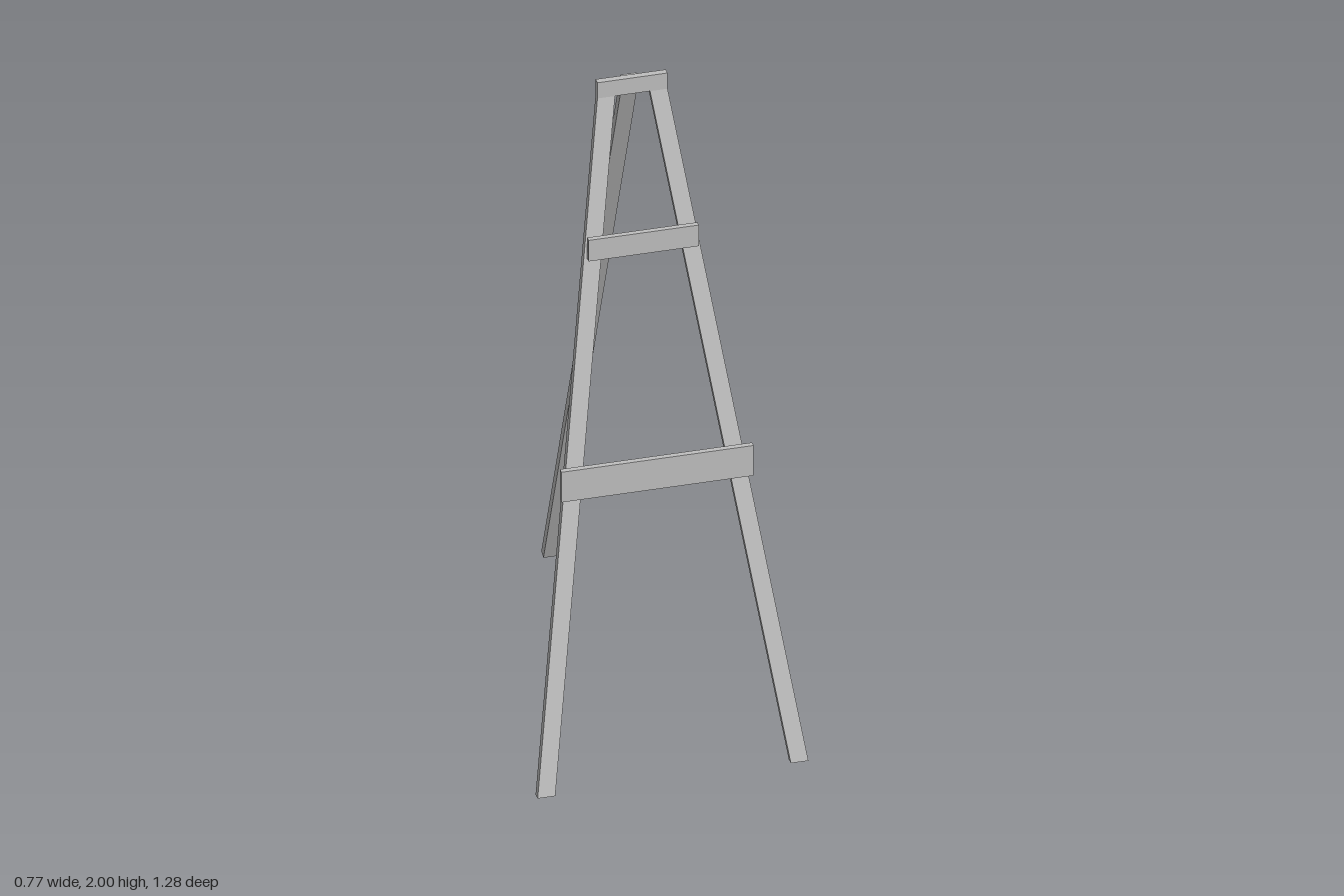
import * as THREE from 'three';

const grey = new THREE.MeshStandardMaterial({ color: 0xbfbfbf });
grey.name = 'plain grey';

function add(group, name, geometry) {
  const mesh = new THREE.Mesh(geometry, grey);
  mesh.name = name;
  group.add(mesh);
}

// Upright board given by its extents on each axis
function board(x0, x1, y0, y1, z0, z1) {
  return new THREE.BoxGeometry(x1 - x0, y1 - y0, z1 - z0)
    .translate((x0 + x1) / 2, (y0 + y1) / 2, (z0 + z1) / 2);
}

// Slanted leg: each end has x range, z range and the heights of its back and front edges
function leg(top, bottom) {
  const geometry = new THREE.BoxGeometry(1, 1, 1);
  const p = geometry.attributes.position;
  for (let i = 0; i < p.count; i++) {
    const end = p.getY(i) > 0 ? top : bottom;
    const ix = p.getX(i) > 0 ? 1 : 0;
    const iz = p.getZ(i) > 0 ? 1 : 0;
    p.setXYZ(i, end.x[ix], end.y[iz], end.z[iz]);
  }
  const flat = geometry.toNonIndexed();
  flat.computeVertexNormals();
  return flat;
}

export function createModel() {
  const easel = new THREE.Group();
  easel.name = 'easel';

  // Splayed front legs, mirrored
  for (const s of [1, -1]) {
    const span = (a, b) => (s > 0 ? [a, b] : [-b, -a]);
    add(easel, s > 0 ? 'leftFrontLeg' : 'rightFrontLeg', leg(
      { x: span(0.05, 0.1), y: [1.95, 1.95], z: [0.2, 0.22] },
      { x: span(0.336, 0.386), y: [0, 0], z: [0.617, 0.639] }));
  }

  // Single rear leg with square-cut ends
  add(easel, 'rearLeg', leg(
    { x: [-0.023, 0.023], y: [1.99, 1.981], z: [0.178, 0.2] },
    { x: [-0.023, 0.023], y: [0.009, 0], z: [-0.639, -0.617] }));

  // Head block and the two rails in front of the legs
  add(easel, 'headBlock', board(-0.1, 0.1, 1.95, 2, 0.2, 0.22));
  add(easel, 'upperRail', board(-0.157, 0.157, 1.505, 1.572, 0.32, 0.336));
  add(easel, 'lowerRail', board(-0.274, 0.274, 0.836, 0.932, 0.462, 0.479));

  return easel;
}
